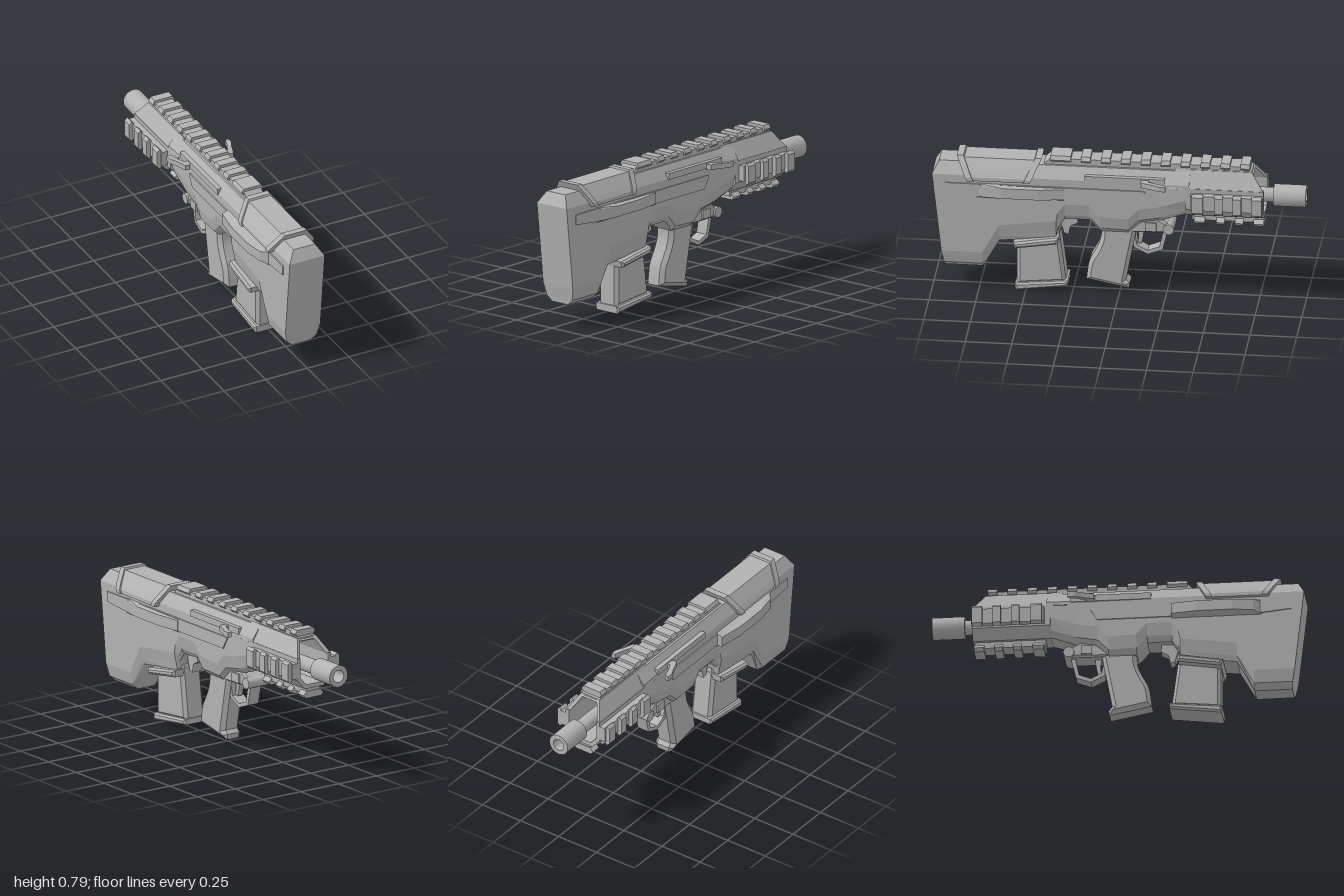
import * as THREE from 'three';
import { toCreasedNormals } from 'three/addons/utils/BufferGeometryUtils.js';

const metal = new THREE.MeshStandardMaterial({ color: 0xb2b2b2 });
metal.name = 'grey metal';

const shapeOf = (pts) => new THREE.Shape(pts.map(([a, b]) => new THREE.Vector2(a, b)));

function extrude(shape, depth, bevel = 0) {
  const g = new THREE.ExtrudeGeometry(shape, {
    depth: depth - 2 * bevel, bevelEnabled: bevel > 0, bevelSegments: 1,
    bevelSize: bevel, bevelThickness: bevel, bevelOffset: -bevel, curveSegments: 8,
  });
  return g.translate(0, 0, bevel);
}
// Outline in (z, y), extruded across x
const side = (pts, x0, x1, bevel) => extrude(shapeOf(pts), x1 - x0, bevel).rotateY(-Math.PI / 2).translate(x1, 0, 0);
// Section in (x, y), extruded along z
const section = (pts, z0, z1) => extrude(shapeOf(pts), z1 - z0).translate(0, 0, z0);
// Plan in (x, z), extruded up y
const plan = (pts, y0, y1) => extrude(shapeOf(pts.map(([x, z]) => [x, -z])), y1 - y0).rotateX(-Math.PI / 2).translate(0, y0, 0);
const box = (x0, x1, y0, y1, z0, z1) => new THREE.BoxGeometry(x1 - x0, y1 - y0, z1 - z0)
  .translate((x0 + x1) / 2, (y0 + y1) / 2, (z0 + z1) / 2);
// Right half of a section completed by its mirror image
const both = (half) => [...half, ...half.map(([x, y]) => [-x, y]).reverse()];

// Move vertices by a rule
function warp(g, rule) {
  const p = g.attributes.position, v = new THREE.Vector3();
  for (let i = 0; i < p.count; i++) {
    rule(v.fromBufferAttribute(p, i));
    p.setXYZ(i, v.x, v.y, v.z);
  }
  g.computeVertexNormals();
  return g;
}

// Faceted skin through matching closed sections that run towards -z
function loft(rings) {
  const out = [], n = rings[0].length, tri = (...v) => v.forEach((p) => out.push(...p));
  for (let i = 0; i < rings.length - 1; i++) {
    for (let j = 0; j < n; j++) {
      const k = (j + 1) % n, a = rings[i], b = rings[i + 1];
      tri(a[j], b[j], a[k]);
      tri(a[k], b[j], b[k]);
    }
  }
  for (const [r, front] of [[rings[0], true], [rings[rings.length - 1], false]]) {
    for (let j = 0; j < n / 2 - 1; j++) {
      const [a, b, c, d] = [r[j], r[j + 1], r[n - 2 - j], r[n - 1 - j]];
      if (front) { tri(a, b, c); tri(a, c, d); } else { tri(a, c, b); tri(a, d, c); }
    }
  }
  const g = new THREE.BufferGeometry();
  g.setAttribute('position', new THREE.Float32BufferAttribute(out, 3));
  g.computeVertexNormals();
  return g;
}

export function createModel() {
  const model = new THREE.Group();
  const add = (name, g, mirrored = false) => {
    for (const s of mirrored ? [1, -1] : [1]) {
      const m = new THREE.Mesh(g, metal);
      m.name = name;
      m.scale.x = s;
      model.add(m);
    }
  };

  // Main body: z, bottom height, bottom half width, side half width
  const stations = [
    [0.95, 0.125, 0.055, 0.105], [0.73, 0.125, 0.055, 0.105], [0.64, 0.29, 0.08, 0.105],
    [0.335, 0.33, 0.085, 0.105], [0.325, 0.38, 0.075, 0.105], [0.29, 0.43, 0.07, 0.105],
    [0.157, 0.43, 0.065, 0.105], [0.1, 0.365, 0.06, 0.105], [-0.05, 0.36, 0.055, 0.105],
    [-0.11, 0.42, 0.055, 0.105], [-0.22, 0.44, 0.055, 0.105], [-0.38, 0.495, 0.06, 0.112],
  ];
  const buttZ = [0.933, 0.937, 0.95, 1, 0.965];
  add('body', loft(stations.map(([z, yb, wb, w], i) => {
    const half = [[wb, yb], [Math.max(wb, 0.09), yb + 0.03], [w, yb + 0.1], [w, 0.675], [0.065, 0.74]]
      .map(([x, y], k) => [x, y, i ? z : buttZ[k]]);
    return [...half, ...half.map(([x, y, q]) => [-x, y, q]).reverse()];
  })));

  // Long shallow side panels
  add('sidePanel', side([[0.93, 0.63], [0.93, 0.575], [0.78, 0.56], [-0.11, 0.56], [-0.145, 0.62], [-0.14, 0.63]], 0.1, 0.112), true);
  add('handleTrack', box(0.08, 0.112, 0.67, 0.705, -0.25, 0.18), true);

  // Ejection port covers
  const port = (reach) => warp(plan([[0.1, 0.78], [reach - 0.02, 0.73], [reach, 0.62], [reach, 0.43], [reach - 0.02, 0.29], [0.1, 0.29]], 0.55, 0.635),
    (v) => { if (v.x > 0.11) v.y = 0.592 + (v.y - 0.592) * 0.7; });
  add('ejectionPort', port(0.138));
  add('ejectionDeflector', warp(port(0.162).rotateY(0), (v) => { v.z = 1.07 - v.z; v.x = -v.x; }).rotateY(0).scale(1, 1, 1));
  model.children[model.children.length - 1].geometry = port(0.162);
  model.children[model.children.length - 1].scale.x = -1;

  // Cheek rest with a raised band at each end
  const cheek = (w, top) => both([[w, 0.655], [w, 0.675], [w - 0.015, 0.7], [0.066, top]]);
  add('cheekRest', warp(section(cheek(0.128, 0.765), 0.5, 0.79), (v) => { v.z += Math.sign(v.z - 0.645) * (v.y - 0.655) * 0.5; }));
  for (const [z, lean] of [[0.475, -0.5], [0.775, 0.5]]) {
    add('cheekBand', warp(section(cheek(0.136, 0.775), z, z + 0.035), (v) => { v.z += (v.y - 0.655) * lean; }));
  }

  // Top rail
  add('topRail', side([[0.41, 0.735], [0.37, 0.775], [-0.66, 0.775], [-0.72, 0.735]], -0.052, 0.052));
  const tooth = both([[0.05, 0.755], [0.066, 0.77], [0.054, 0.791]]);
  add('topRailTooth', section(tooth, 0.26, 0.37));
  for (let i = 0; i < 8; i++) add('topRailTooth', section(tooth, 0.155 - i * 0.107, 0.205 - i * 0.107));
  add('topRailTooth', section(tooth, -0.7, -0.65));

  // Hollow handguard: trough, pierced upper panels and roof
  const trough = [[0.112, 0.66], [0.112, 0.54], [0.062, 0.485], [-0.062, 0.485], [-0.112, 0.54], [-0.112, 0.66],
    [-0.09, 0.66], [-0.09, 0.55], [-0.052, 0.508], [0.052, 0.508], [0.09, 0.55], [0.09, 0.66]];
  add('handguard', section(trough, -0.78, -0.36));
  const panel = shapeOf([[-0.27, 0], [-0.3, 0.11], [-0.71, 0.11], [-0.78, 0]]);
  for (const z of [-0.445, -0.56, -0.675]) {
    const slot = new THREE.Path();
    slot.absarc(z + 0.032, 0.058, 0.018, -Math.PI / 2, Math.PI / 2);
    slot.absarc(z - 0.032, 0.058, 0.018, Math.PI / 2, Math.PI * 1.5);
    panel.holes.push(slot);
  }
  add('handguardPanel', extrude(panel, 0.02).rotateY(-Math.PI / 2).rotateZ(0.5).translate(0.112, 0.655, 0), true);
  add('handguardRoof', box(-0.062, 0.062, 0.728, 0.75, -0.71, -0.36));

  // Side and lower accessory rails
  add('sideRail', section([[0.1, 0.55], [0.148, 0.55], [0.148, 0.635], [0.1, 0.635]], -0.78, -0.39), true);
  add('lowerRail', box(-0.045, 0.045, 0.45, 0.49, -0.77, -0.39));
  for (const [z0, z1] of [[-0.775, -0.72], [-0.665, -0.62], [-0.565, -0.52], [-0.46, -0.4]]) {
    add('sideRailTooth', section([[0.125, 0.56], [0.155, 0.53], [0.171, 0.545], [0.171, 0.635], [0.155, 0.65], [0.125, 0.62]], z0, z1), true);
    add('lowerRailTooth', section(both([[0.05, 0.43], [0.065, 0.447], [0.045, 0.468]]), z0, z1));
  }

  // Barrel with an open muzzle
  const profile = [[0, -0.3], [0.04, -0.3], [0.04, -0.825], [0.06, -0.825], [0.06, -1], [0.034, -1], [0.034, -0.88], [0, -0.88]];
  const barrel = new THREE.LatheGeometry(profile.map(([r, z]) => new THREE.Vector2(r, -z)), 24)
    .rotateX(-Math.PI / 2).translate(0, 0.597, 0);
  add('barrel', toCreasedNormals(barrel, 0.6));

  // Charging handles
  add('chargingHandle', plan([[0.09, -0.16], [0.09, -0.135], [0.112, -0.135], [0.118, -0.12], [0.145, -0.125],
    [0.166, -0.185], [0.186, -0.225], [0.186, -0.26], [0.166, -0.26], [0.152, -0.215], [0.13, -0.165]], 0.668, 0.697), true);

  // Magazine, base plate and flared well
  add('magazineWell', side([[0.565, 0.295], [0.555, 0.26], [0.325, 0.295], [0.32, 0.335]], -0.12, 0.12, 0.012));
  add('magazine', side([[0.55, 0.36], [0.55, 0.03], [0.285, 0.055], [0.325, 0.36]], -0.066, 0.066, 0.018));
  add('magazineBase', side([[0.558, 0.04], [0.555, 0], [0.275, 0.035], [0.275, 0.067]], -0.083, 0.083, 0.01));

  // Grip with a curved back
  const back = new THREE.CatmullRomCurve3([[0.1, 0.4], [0.1, 0.32], [0.125, 0.25], [0.162, 0.18], [0.178, 0.07]]
    .map(([z, y]) => new THREE.Vector3(z, y, 0))).getPoints(10).map((p) => [p.x, p.y]);
  add('grip', toCreasedNormals(side([...back, [-0.05, 0.025], [-0.055, 0.055], [-0.035, 0.075], [-0.095, 0.4]], -0.06, 0.06, 0.022), 0.5));

  // Trigger guard, boss and pin
  add('triggerGuard', side([[-0.055, 0.37], [-0.075, 0.265], [-0.15, 0.228], [-0.23, 0.258], [-0.26, 0.38],
    [-0.235, 0.38], [-0.213, 0.275], [-0.15, 0.25], [-0.092, 0.28], [-0.078, 0.37]], -0.035, 0.035));
  add('guardBoss', side([[-0.04, 0.365], [-0.1, 0.43], [-0.15, 0.46], [-0.2, 0.46], [-0.285, 0.41], [-0.27, 0.368]], -0.065, 0.065, 0.012));
  add('frontPin', toCreasedNormals(new THREE.CylinderGeometry(0.03, 0.03, 0.15, 16).rotateZ(Math.PI / 2).translate(0, 0.395, -0.265), 0.6));
  add('selector', box(-0.075, 0.075, 0.38, 0.43, -0.2, -0.14));
  add('trigger', side([[-0.09, 0.38], [-0.1, 0.33], [-0.095, 0.285], [-0.115, 0.28], [-0.125, 0.33], [-0.13, 0.38]], -0.015, 0.015));
  add('magazineRelease', side([[0.325, 0.42], [0.3, 0.33], [0.275, 0.32], [0.265, 0.37], [0.225, 0.39], [0.23, 0.44]], -0.03, 0.03));

  return model;
}
